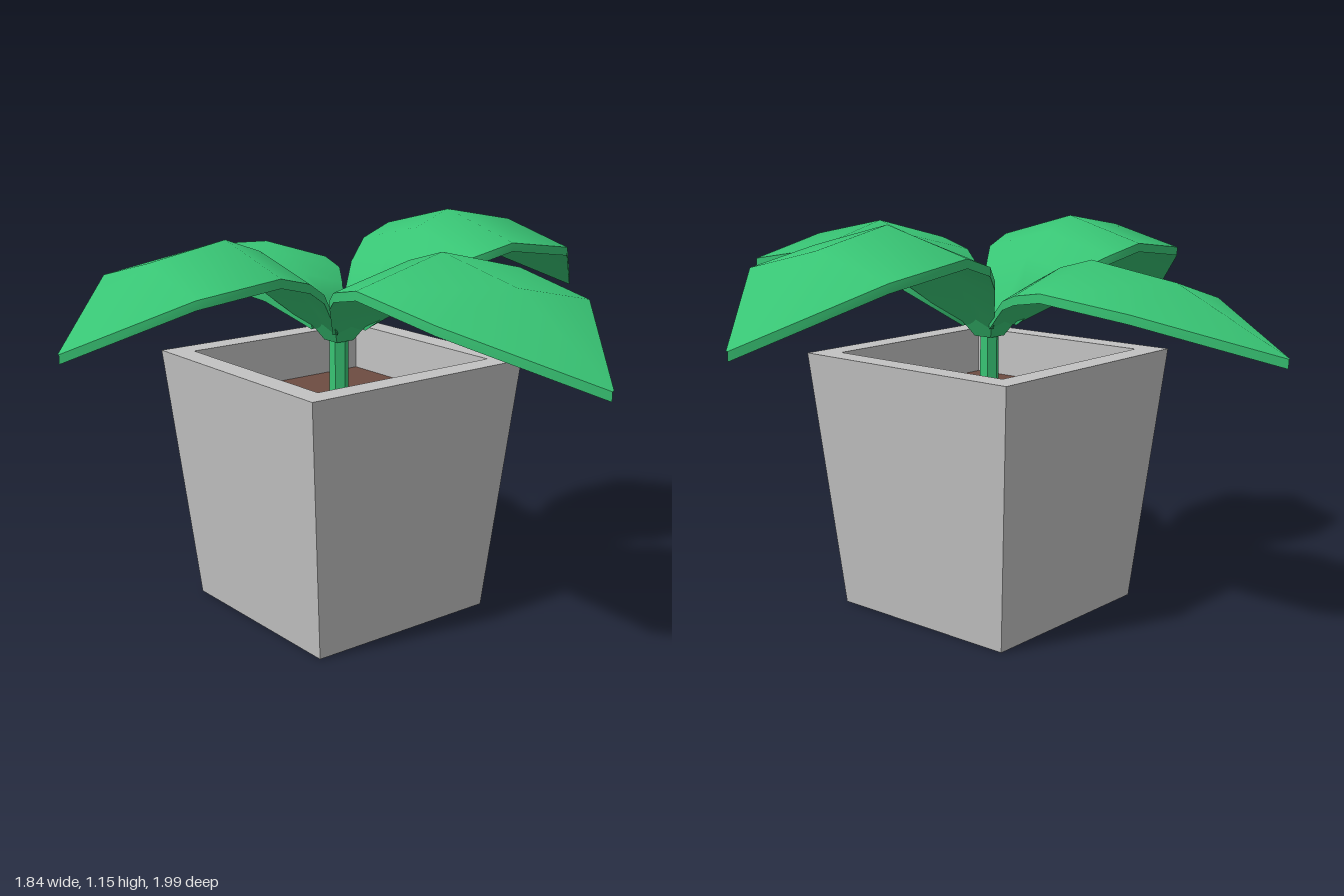
import * as THREE from 'three';
import { toCreasedNormals } from 'three/addons/utils/BufferGeometryUtils.js';

const BASE_R = 0.06, BASE_Y = 0.87, BASE_W = 0.06, THICK = 0.025;

// Leaf growing along +z; each row is [distance, midrib height, half width, edge droop]
function leafGeometry(shoulder, bend, tip) {
  const inner = (f, fy, fw) => [
    BASE_R + (shoulder[0] - BASE_R) * f,
    BASE_Y + (shoulder[1] - BASE_Y) * fy,
    shoulder[2] * fw, 0.07 * fy,
  ];
  const rows = [
    [BASE_R - 0.01, BASE_Y, BASE_W, 0.01],
    inner(0.35, 0.58, 0.63),
    inner(0.65, 0.84, 0.89),
    [...shoulder, 0.07],
    [...bend, 0.06],
    [...tip, 0.003, 0],
  ];
  const pos = [], index = [];
  for (const [r, y, w, d] of rows) {
    pos.push(-w, y - d, r, 0, y, r, w, y - d, r);
    pos.push(w, y - d - THICK, r, 0, y - THICK, r, -w, y - d - THICK, r);
  }
  for (let i = 0; i < rows.length - 1; i++) {
    for (let j = 0; j < 6; j++) {
      const a = i * 6 + j, b = i * 6 + (j + 1) % 6;
      index.push(a, a + 6, b + 6, a, b + 6, b);
    }
  }
  for (let j = 1; j < 5; j++) index.push(0, j, j + 1);
  const g = new THREE.BufferGeometry();
  g.setAttribute('position', new THREE.Float32BufferAttribute(pos, 3));
  g.setIndex(index);
  return toCreasedNormals(g, 0.9);
}

export function createModel() {
  const potGrey = new THREE.MeshStandardMaterial({ color: 0xc2c2c2 });
  const soilBrown = new THREE.MeshStandardMaterial({ color: 0x6d4c41 });
  const leafGreen = new THREE.MeshStandardMaterial({ color: 0x38c474 });
  potGrey.name = 'potGrey';
  soilBrown.name = 'soilBrown';
  leafGreen.name = 'leafGreen';

  const model = new THREE.Group();
  model.name = 'pottedPlant';
  const plant = new THREE.Group();
  plant.name = 'plantAndPot';
  plant.position.set(-0.04, 0, -0.04);
  model.add(plant);
  const add = (name, geometry, material, y = 0) => {
    const mesh = new THREE.Mesh(geometry, material);
    mesh.name = name;
    mesh.position.y = y;
    plant.add(mesh);
    return mesh;
  };

  // Square tapered pot with a hollow top
  const profile = [[0, 0], [0.302, 0], [0.372, 0.76], [0.303, 0.76], [0.303, 0.6]]
    .map(([half, y]) => new THREE.Vector2(half * Math.SQRT2, y));
  add('pot', toCreasedNormals(new THREE.LatheGeometry(profile, 4, Math.PI / 4), 0.3), potGrey);
  add('soil', new THREE.BoxGeometry(0.606, 0.04, 0.606), soilBrown, 0.6);

  // Stem and the square hub that carries the leaves
  add('stem', toCreasedNormals(new THREE.CylinderGeometry(0.028, 0.028, 0.26, 6), 0.3), leafGreen, 0.74);
  const hub = new THREE.CylinderGeometry(0.065 * Math.SQRT2, 0.03 * Math.SQRT2, 0.06, 4);
  hub.rotateY(Math.PI / 4);
  add('hub', toCreasedNormals(hub, 0.3), leafGreen, 0.835);

  // Four leaves, each a little different in size
  const leaves = [
    ['frontLeaf', 0, [0.44, 1.115, 0.285], [0.715, 1.06, 0.263], [1.035, 0.865]],
    ['leftLeaf', 1, [0.415, 1.15, 0.28], [0.67, 1.1, 0.255], [0.96, 0.885]],
    ['backLeaf', 2, [0.36, 1.05, 0.225], [0.63, 1.01, 0.21], [0.96, 0.85]],
    ['rightLeaf', 3, [0.38, 1.13, 0.255], [0.62, 1.09, 0.235], [0.88, 0.89]],
  ];
  for (const [name, turn, shoulder, bend, tip] of leaves) {
    add(name, leafGeometry(shoulder, bend, tip), leafGreen).rotation.y = turn * Math.PI / 2;
  }
  return model;
}
